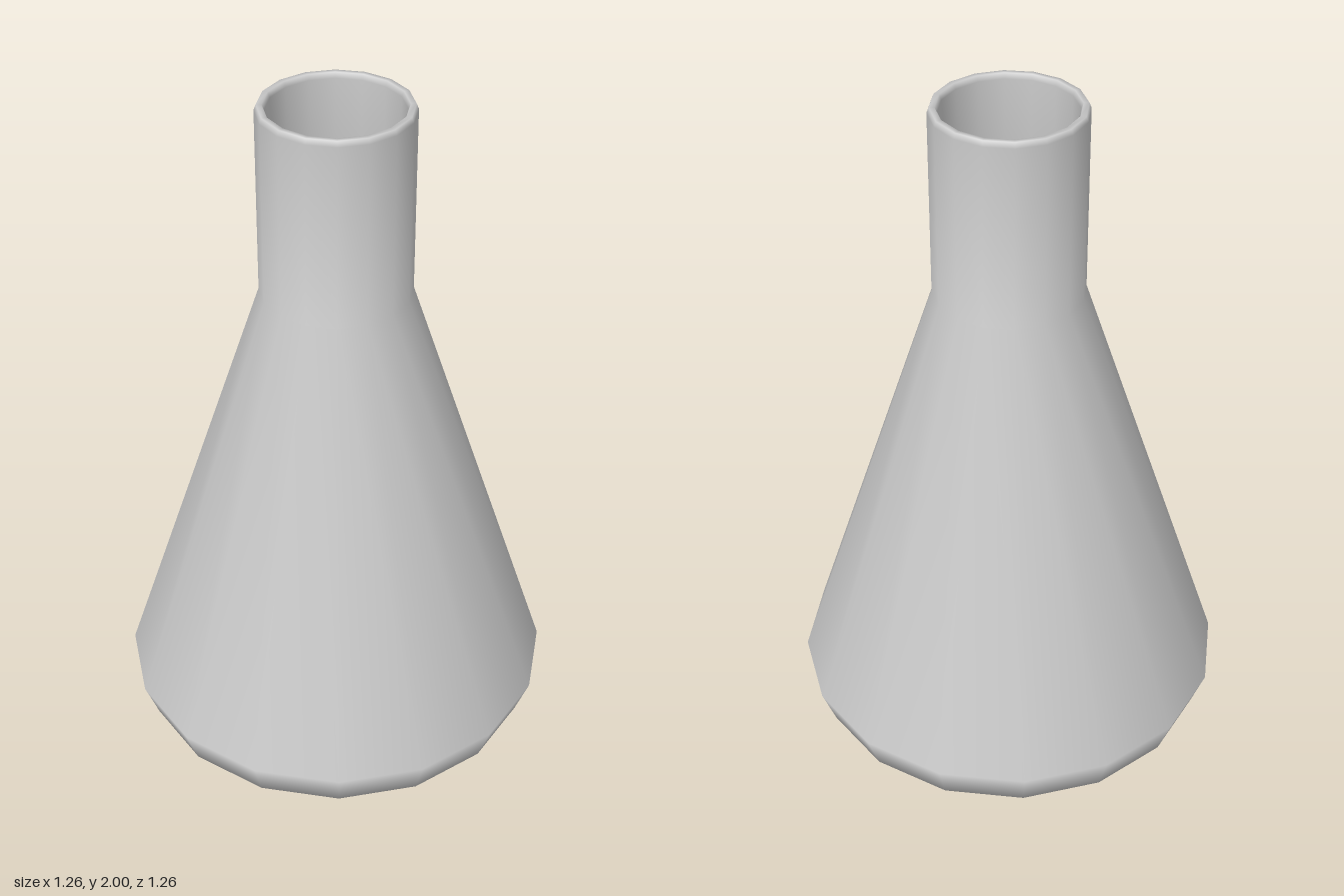
import * as THREE from 'three';

const SIDES = 16;

export function createModel() {
  const group = new THREE.Group();
  group.name = 'conicalFlask';
  const glass = new THREE.MeshStandardMaterial({ color: 0xcccccc });

  // Closed wall section: up the outside, over the rim, down the inside
  const profile = [
    [0, 0], [0.47, 0], [0.592, 0.065], [0.632, 0.175], // base and rounded foot
    [0.213, 1.45], [0.213, 1.985],                     // cone and neck
    [0.207, 2], [0.192, 2], [0.186, 1.985],            // rim
    [0.186, 1.445], [0.602, 0.175],                    // inner neck and cone
    [0.568, 0.085], [0.46, 0.03], [0, 0.03],           // inner floor
  ].map(([r, y]) => new THREE.Vector2(r, y));

  const body = new THREE.Mesh(new THREE.LatheGeometry(profile, SIDES), glass);
  body.name = 'flaskBody';
  group.add(body);
  return group;
}
